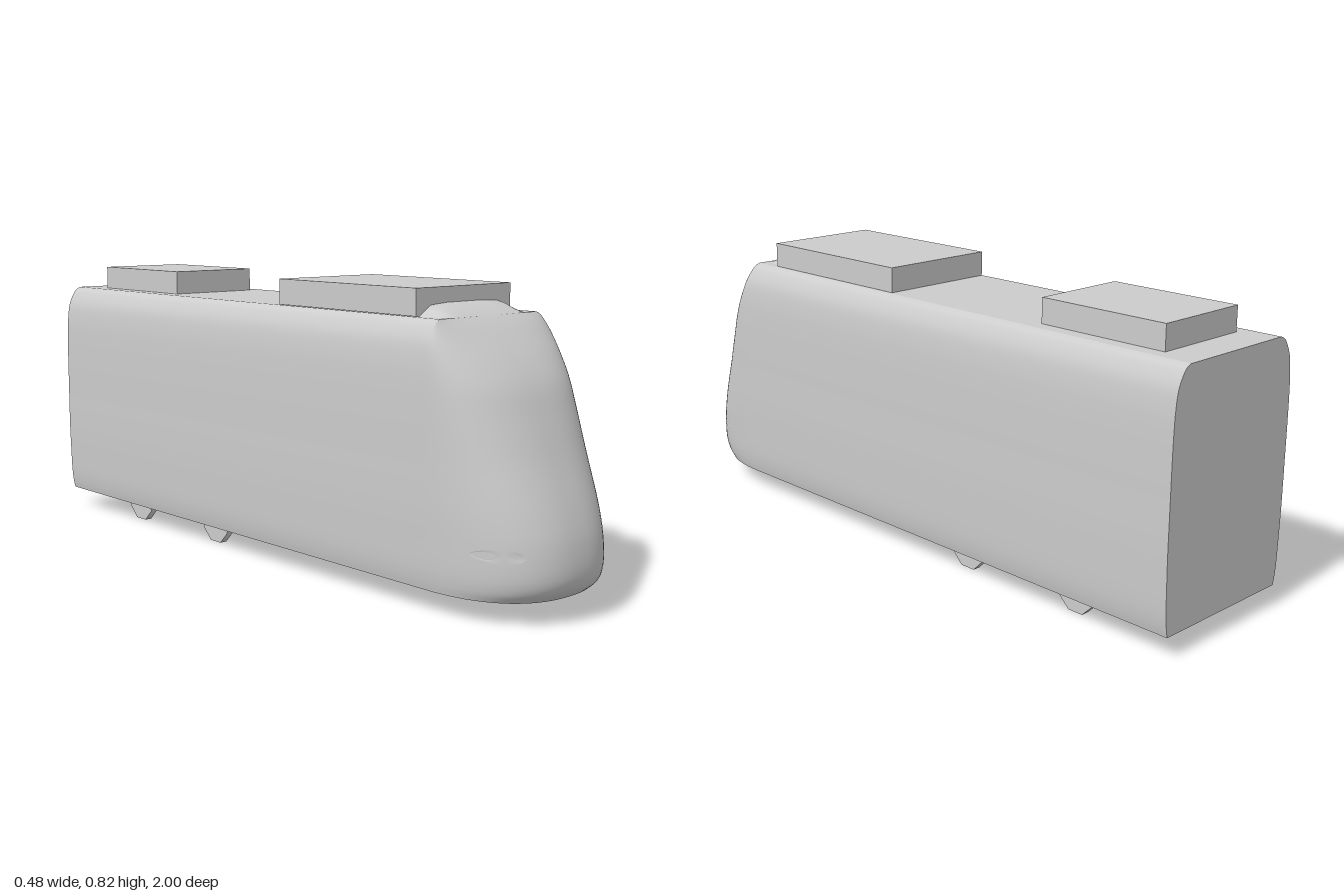
import * as THREE from 'three';

const NOSE_Z = 0.68, BACK_Z = -1, POWER = 2.4;

// Side profile as (half width, height, nose length)
const profile = new THREE.CatmullRomCurve3([
  [0.226, 0.06, 0.28], [0.231, 0.085, 0.308], [0.235, 0.12, 0.32], [0.238, 0.2, 0.314],
  [0.24, 0.28, 0.29], [0.24, 0.4, 0.24], [0.24, 0.5, 0.198], [0.239, 0.58, 0.16],
  [0.236, 0.64, 0.115], [0.228, 0.69, 0.066], [0.213, 0.722, 0.031], [0.2, 0.738, 0.01],
  [0.185, 0.745, 0],
].map((p) => new THREE.Vector3(...p))).getPoints(60);

// Smooth surface through equally long rows of [x, y, z] points
function loft(rows) {
  const n = rows[0].length, index = [];
  for (let j = 0; j < rows.length - 1; j++) {
    for (let i = 0; i < n - 1; i++) {
      const a = j * n + i, b = a + 1, c = a + n, d = c + 1;
      index.push(a, c, b, b, c, d);
    }
  }
  const g = new THREE.BufferGeometry();
  g.setAttribute('position', new THREE.Float32BufferAttribute(rows.flat(2), 3));
  g.setIndex(index);
  g.computeVertexNormals();
  return g;
}

// One horizontal outline: left side, around the nose, right side
function outline({ x: w, y, z: d }) {
  const row = [[w, y, BACK_Z]];
  for (let i = 0; i <= 40; i++) {
    const t = (i / 40) * Math.PI, c = Math.cos(t);
    row.push([
      w * Math.sign(c) * Math.abs(c) ** (2 / POWER), y,
      NOSE_Z + d * Math.max(0, Math.sin(t)) ** (2 / POWER),
    ]);
  }
  row.push([-w, y, BACK_Z]);
  return row;
}

// Depth of the nose surface at a given x and y
function noseDepth(x, y) {
  const k = Math.max(1, profile.findIndex((p) => p.y >= y));
  const a = profile[k - 1], b = profile[k];
  const p = a.clone().lerp(b, (y - a.y) / (b.y - a.y));
  return NOSE_Z + p.z * Math.max(0, 1 - (Math.abs(x) / p.x) ** POWER) ** (1 / POWER);
}

const flat = (points) =>
  new THREE.ShapeGeometry(new THREE.Shape(points.map(([x, y]) => new THREE.Vector2(x, y))));

export function createModel() {
  const model = new THREE.Group();
  model.name = 'railcar';
  const grey = new THREE.MeshStandardMaterial({ color: 0xcccccc });
  grey.name = 'light grey';

  const add = (name, geometry, x = 0, y = 0, z = 0) => {
    const mesh = new THREE.Mesh(geometry, grey);
    mesh.name = name;
    mesh.position.set(x, y, z);
    model.add(mesh);
    return mesh;
  };

  // Body shell with its nose, closed by floor, roof and back wall
  add('bodyShell', loft(profile.map(outline)));
  const bottom = outline(profile[0]);
  add('floor', flat(bottom.map(([x, , z]) => [x, z])).rotateX(Math.PI / 2), 0, 0.06, 0);
  const roof = new THREE.PlaneGeometry(0.37, NOSE_Z - BACK_Z).rotateX(-Math.PI / 2);
  add('roof', roof, 0, 0.745, (NOSE_Z + BACK_Z) / 2);
  const half = profile.map((p) => [p.x, p.y]);
  const wall = [...half, ...half.map(([x, y]) => [-x, y]).reverse()];
  add('backWall', flat(wall).rotateY(Math.PI), 0, 0, BACK_Z);

  // Fairing that leads from the nose up to the front roof unit
  const section = [[-1, 0], [-0.86, 0.5], [-0.75, 0.88], [-0.4, 1], [0, 1],
    [0.4, 1], [0.75, 0.88], [0.86, 0.5], [1, 0]];
  const fairing = [];
  for (let j = 0; j <= 10; j++) {
    const t = j / 10, z = 0.57 + 0.11 * t;
    fairing.push(section.map(([x, y]) =>
      [x * (0.17 - 0.02 * t * t), 0.744 + y * 0.034 * (1 - t ** 2), z]));
  }
  add('roofFairing', loft(fairing));

  // Roof units
  add('frontRoofUnit', new THREE.BoxGeometry(0.36, 0.072, 0.54), 0, 0.782, 0.322);
  add('rearRoofUnit', new THREE.BoxGeometry(0.29, 0.072, 0.4), 0, 0.779, -0.693);

  for (const side of [1, -1]) {
    const label = side > 0 ? 'left' : 'right';

    // Headlight: thin oval patch lying on the nose
    const lamp = new THREE.CircleGeometry(1, 28);
    const pos = lamp.attributes.position;
    for (let i = 0; i < pos.count; i++) {
      const x = side * 0.187 + pos.getX(i) * 0.035;
      const y = 0.182 + pos.getY(i) * 0.017;
      pos.setXYZ(i, x, y, noseDepth(x, y) + 0.002);
    }
    lamp.computeVertexNormals();
    add(label + 'Headlight', lamp);

    // Eight-sided wheels
    for (const [place, z] of [['Front', -0.26], ['Rear', -0.665]]) {
      const wheel = new THREE.CylinderGeometry(0.063, 0.063, 0.022, 8)
        .rotateY(Math.PI / 8).rotateZ(Math.PI / 2);
      add(label + place + 'Wheel', wheel, side * 0.17, 0.058, z);
    }
  }
  return model;
}
